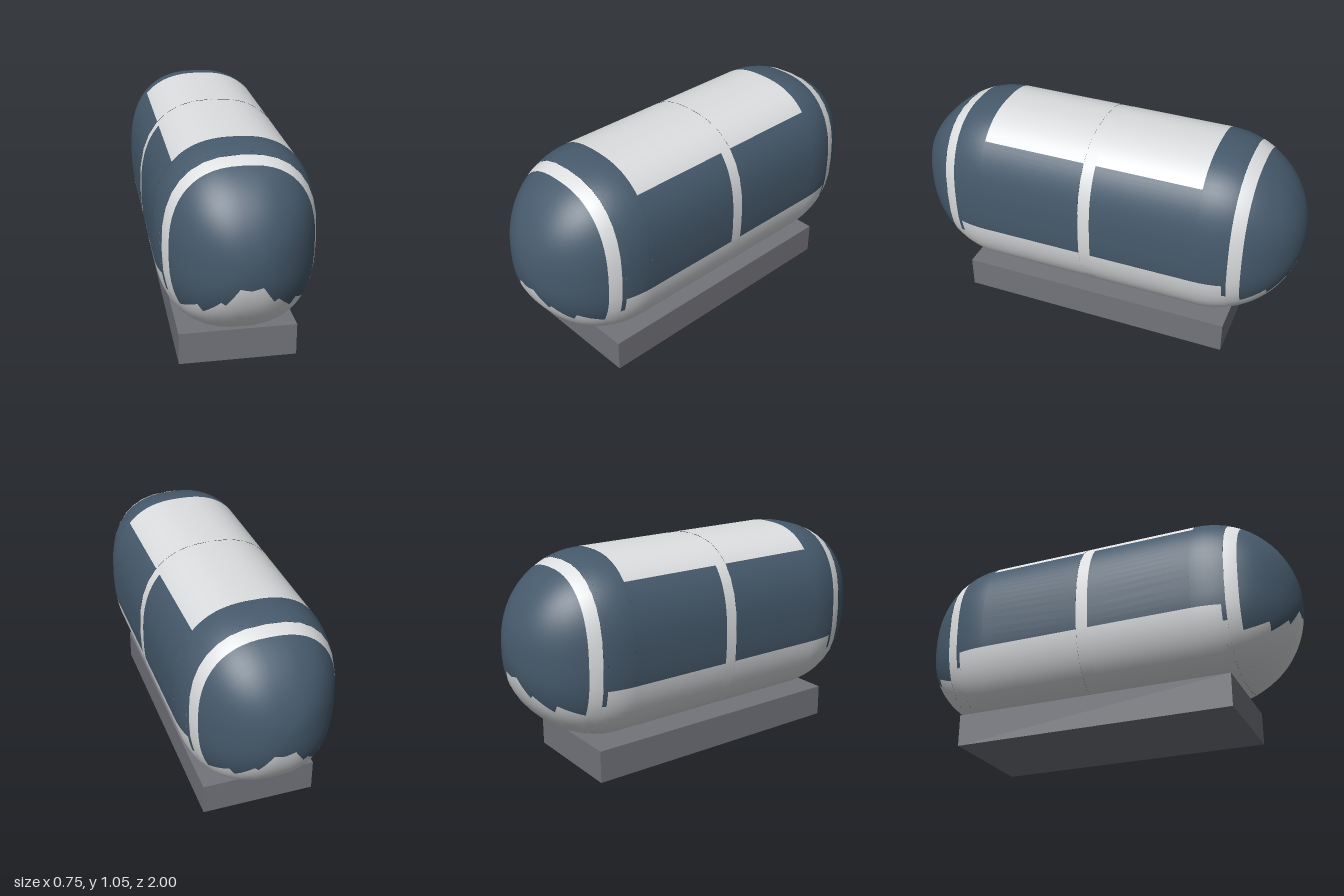
import * as THREE from 'three';

const A = 0.373, B = 0.445, CY = 0.605;   // half width, half height, centre height
const N = 2.5;                            // squareness of the cross-section
const STRAIGHT = 0.55, CAP = 0.45;        // straight half length, cap length
const BAND_OUT = 0.77;

const light = new THREE.MeshStandardMaterial({ color: 0xdcdee0 });
light.name = 'light grey';
const dark = new THREE.MeshStandardMaterial({ color: 0x465a6c });
dark.name = 'slate blue';
const grey = new THREE.MeshStandardMaterial({ color: 0x73747b });
grey.name = 'base grey';

const spow = (v, p) => Math.sign(v) * Math.abs(v) ** p;
const scaleAt = z => Math.sqrt(Math.max(0, 1 - (Math.max(0, z - STRAIGHT) / CAP) ** 2));
const lerp = THREE.MathUtils.lerp;

// Point and outward normal on the hull: angle around the section, section scale, z
function hullPoint(phi, s, z) {
  const x = spow(Math.max(0, Math.cos(phi)), 2 / N), y = spow(Math.sin(phi), 2 / N);
  const zc = Math.max(0, z - STRAIGHT) / CAP;
  const normal = new THREE.Vector3(
    s * spow(x, N - 1) / A, s * spow(y, N - 1) / B, zc / CAP).normalize();
  return { p: new THREE.Vector3(A * s * x, CY + B * s * y, z), n: normal };
}

// Angle where the section of scale s reaches height y
function angleAt(y, s) {
  const v = THREE.MathUtils.clamp((y - CY) / (B * s), -1, 1);
  return Math.asin(spow(v, N / 2));
}

// Grids of hull points, mirrored to all four quarters, as one mesh
function hullMesh(name, material, grids) {
  const pos = [], nor = [], index = [];
  for (const rows of grids) for (const sx of [1, -1]) for (const sz of [1, -1]) {
    const start = pos.length / 3, w = rows[0].length;
    for (const row of rows) for (const { p, n } of row) {
      pos.push(p.x * sx, p.y, p.z * sz);
      nor.push(n.x * sx, n.y, n.z * sz);
    }
    const at = (arr, i) => new THREE.Vector3().fromArray(arr, i * 3);
    const tri = (a, b, c) => {
      const pa = at(pos, a);
      const face = at(pos, b).sub(pa).cross(at(pos, c).sub(pa));
      if (face.lengthSq() < 1e-16) return;
      const out = at(nor, a).add(at(nor, b)).add(at(nor, c));
      if (face.dot(out) > 0) index.push(a, b, c); else index.push(a, c, b);
    };
    for (let i = 0; i < rows.length - 1; i++) for (let j = 0; j < w - 1; j++) {
      const a = start + i * w + j;
      tri(a, a + 1, a + w);
      tri(a + 1, a + w + 1, a + w);
    }
  }
  const g = new THREE.BufferGeometry();
  g.setAttribute('position', new THREE.Float32BufferAttribute(pos, 3));
  g.setAttribute('normal', new THREE.Float32BufferAttribute(nor, 3));
  g.setIndex(index);
  const mesh = new THREE.Mesh(g, material);
  mesh.name = name;
  return mesh;
}

// Strip of hull between two z values and two heights
function strip(z0, z1, yTop, yBottom) {
  const steps = z1 > STRAIGHT ? 4 : 1, rows = [];
  for (let i = 0; i <= steps; i++) {
    const z = lerp(z0, z1, i / steps), s = scaleAt(z);
    const a = angleAt(yTop, s), b = angleAt(yBottom, s), row = [];
    for (let j = 0; j <= 16; j++) row.push(hullPoint(lerp(a, b, j / 16), s, z));
    rows.push(row);
  }
  return rows;
}

// Edge of the dark end cap: jagged below, following the band above
function capEdge() {
  const jag = [[0, 0.511], [0.05, 0.523], [0.106, 0.432], [0.125, 0.447],
    [0.192, 0.372], [0.217, 0.411], [0.287, 0.352]];
  const sMax = scaleAt(BAND_OUT), edge = [];
  const add = (x, y) => {
    const u = x / A, v = (y - CY) / B;
    edge.push({
      phi: Math.atan2(spow(v, N / 2), u ** (N / 2)),
      s: Math.min(sMax, (u ** N + Math.abs(v) ** N) ** (1 / N)),
    });
  };
  for (let i = 0; i < jag.length - 1; i++) for (let k = 0; k < 4; k++) {
    add(lerp(jag[i][0], jag[i + 1][0], k / 4), lerp(jag[i][1], jag[i + 1][1], k / 4));
  }
  add(...jag[jag.length - 1]);
  const last = edge[edge.length - 1];
  last.s = sMax;
  for (let k = 1; k <= 20; k++) edge.push({ phi: lerp(last.phi, Math.PI / 2, k / 20), s: sMax });
  return edge;
}

// Rays over the end cap from one scale to another
function capGrid(edge, from, to, steps) {
  return edge.map(e => {
    const a = Math.asin(from(e)), b = Math.asin(to(e)), row = [];
    for (let i = 0; i <= steps; i++) {
      const t = lerp(a, b, i / steps);
      row.push(hullPoint(e.phi, Math.sin(t), STRAIGHT + CAP * Math.cos(t)));
    }
    return row;
  });
}

export function createModel() {
  const model = new THREE.Group();
  model.name = 'capsule on plinth';
  const TOP = 2, BOTTOM = -1, SILL = 0.475, ROOF = 0.947;
  const edge = capEdge(), sMax = scaleAt(BAND_OUT);

  const base = new THREE.Mesh(new THREE.BoxGeometry(0.56, 0.16, 1.4), grey);
  base.name = 'base';
  base.position.y = 0.08;
  model.add(base);

  model.add(
    // Light parts of the hull
    hullMesh('middleBand', light, [strip(0, 0.03, TOP, BOTTOM)]),
    hullMesh('roofPanel', light, [strip(0.03, STRAIGHT, TOP, ROOF)]),
    hullMesh('underside', light, [
      strip(0.03, STRAIGHT, SILL, BOTTOM),
      strip(STRAIGHT, 0.69, SILL, BOTTOM),
      strip(0.69, 0.71, 0.4, BOTTOM),
      capGrid(edge, e => e.s, () => sMax, 8),
    ]),
    hullMesh('endBands', light, [strip(0.71, BAND_OUT, TOP, BOTTOM)]),
    // Dark parts of the hull
    hullMesh('sidePanels', dark, [strip(0.03, STRAIGHT, ROOF, SILL)]),
    hullMesh('shoulders', dark, [
      strip(STRAIGHT, 0.69, TOP, SILL),
      strip(0.69, 0.71, TOP, 0.4),
    ]),
    hullMesh('endCaps', dark, [capGrid(edge, () => 0, e => e.s, 12)]),
  );
  return model;
}
